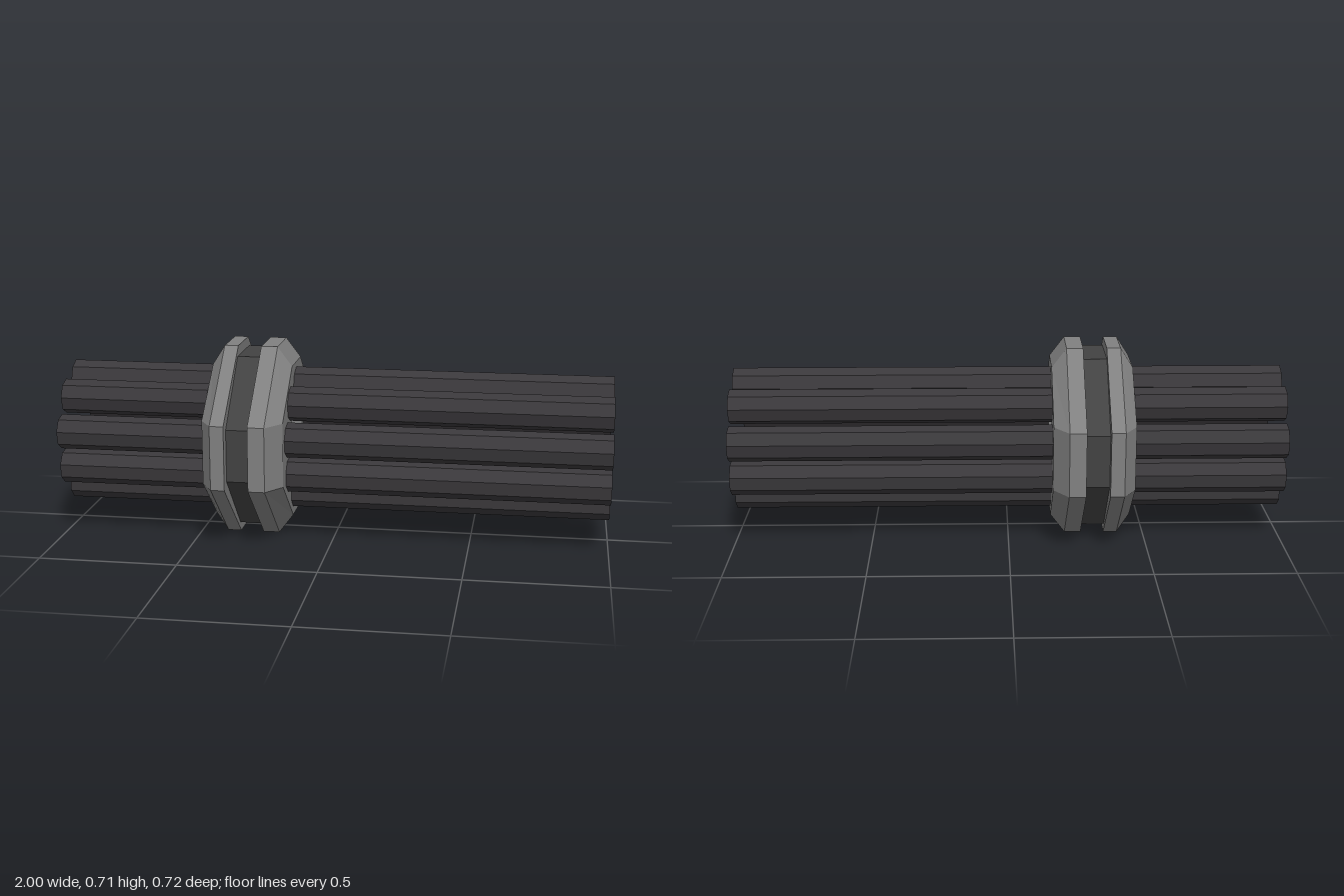
import * as THREE from 'three';

const CY = 0.353; // height of the cluster axis
const mat = (color) => new THREE.MeshStandardMaterial({ color, flatShading: true });

// Eight-sided loop around the x axis, running from +y towards +z
function octagon(top, topZ, side, sideY) {
  return [
    [top, topZ], [sideY, side], [-sideY, side], [-top, topZ],
    [-top, -topZ], [-sideY, -side], [sideY, -side], [top, -topZ],
  ];
}

// Closed ring through sections [x, loop]; the last section joins the first
function loftRing(sections) {
  const pos = [];
  const at = (j, i) => {
    const [x, loop] = sections[j % sections.length];
    const [y, z] = loop[i % loop.length];
    return [x, y, z];
  };
  for (let j = 0; j < sections.length; j++) {
    for (let i = 0; i < 8; i++) {
      const a = at(j, i), b = at(j, i + 1), c = at(j + 1, i + 1), d = at(j + 1, i);
      pos.push(...a, ...b, ...c, ...a, ...c, ...d);
    }
  }
  const geo = new THREE.BufferGeometry();
  geo.setAttribute('position', new THREE.Float32BufferAttribute(pos, 3));
  geo.computeVertexNormals();
  return geo;
}

// Eight-sided turned part lying along x
function turned(profile) {
  const pts = profile.map(([r, x]) => new THREE.Vector2(r, x));
  return new THREE.LatheGeometry(pts, 8).rotateZ(-Math.PI / 2);
}

export function createModel() {
  const model = new THREE.Group();
  model.name = 'barrelCluster';
  const steel = mat(0x808080), dark = mat(0x3a383b), band = mat(0x424242), orange = mat(0xd98027);

  const add = (parent, name, geo, material) => {
    const mesh = new THREE.Mesh(geo, material);
    mesh.name = name;
    parent.add(mesh);
    return mesh;
  };

  // Clamp: two chamfered collars with a recessed band between them
  const hole = octagon(0.092, 0.09, 0.112, 0.083);
  const face = octagon(0.282, 0.089, 0.286, 0.117);
  const rim = octagon(0.353, 0.088, 0.361, 0.117);
  const groove = octagon(0.316, 0.103, 0.322, 0.095);
  const clamp = new THREE.Group();
  clamp.name = 'clamp';
  clamp.position.y = CY;
  model.add(clamp);
  add(clamp, 'rearCollar', loftRing([
    [-0.45, hole], [-0.45, face], [-0.405, rim], [-0.355, rim], [-0.355, hole],
  ]), steel);
  add(clamp, 'clampBand', loftRing([
    [-0.355, hole], [-0.355, groove], [-0.27, groove], [-0.27, hole],
  ]), band);
  add(clamp, 'frontCollar', loftRing([
    [-0.27, hole], [-0.27, rim], [-0.21, rim], [-0.157, face], [-0.157, hole],
  ]), steel);

  // Nine tubes, closed at the rear and open at the muzzle, each with a core deep inside
  const tubeGeo = turned([[0, -1], [0.063, -1], [0.063, 1], [0.047, 1], [0.047, -0.96], [0, -0.96]]);
  const coreGeo = turned([[0, -0.96], [0.043, -0.96], [0.043, -0.9], [0, -0.9]]);
  for (let i = 0; i < 9; i++) {
    const a = (i / 9) * Math.PI * 2;
    const barrel = new THREE.Group();
    barrel.name = `barrel${i + 1}`;
    barrel.position.set(0, CY + 0.2 * Math.cos(a), 0.2 * Math.sin(a));
    barrel.rotation.x = a;
    add(barrel, 'tube', tubeGeo, dark);
    add(barrel, 'core', coreGeo, orange);
    model.add(barrel);
  }
  return model;
}
